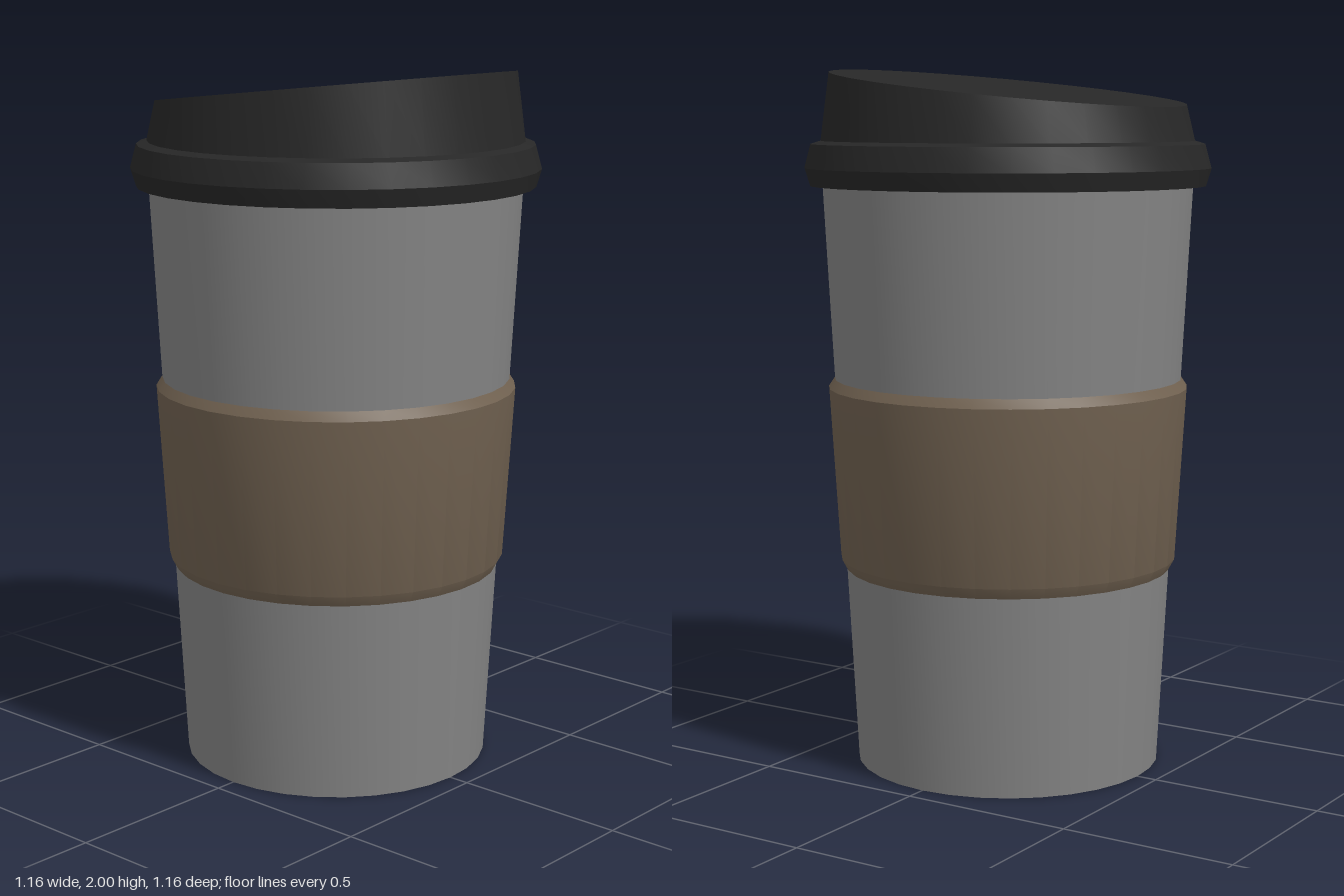
import * as THREE from 'three';
import { toCreasedNormals } from 'three/addons/utils/BufferGeometryUtils.js';

const SIDES = 32;

const cupGrey = new THREE.MeshStandardMaterial({ name: 'cupGrey', color: 0x848484 });
const sleeveBrown = new THREE.MeshStandardMaterial({ name: 'sleeveBrown', color: 0x706150 });
const lidBlack = new THREE.MeshStandardMaterial({ name: 'lidBlack', color: 0x272727 });

// Turns a [radius, height] profile, listed bottom to top, into a named part
function turned(name, profile, material, reshape) {
  const points = profile.map(([r, y]) => new THREE.Vector2(r, y));
  const geometry = new THREE.LatheGeometry(points, SIDES);
  if (reshape) reshape(geometry.attributes.position);
  const mesh = new THREE.Mesh(toCreasedNormals(geometry, 0.45), material);
  mesh.name = name;
  return mesh;
}

// Tilts the flat top of the lid so it rises towards +x
function slantTop(position) {
  for (let i = 0; i < position.count; i++) {
    if (position.getY(i) > 1.9) {
      position.setY(i, position.getY(i) + 0.055 * position.getX(i) / 0.508);
    }
  }
}

export function createModel() {
  const model = new THREE.Group();
  model.name = 'travelCup';

  // Tapered cup body with a flat base
  model.add(turned('cupBody', [[0, 0], [0.44, 0], [0.53, 1.69], [0, 1.69]], cupGrey));

  // Grip sleeve with bevelled edges that meet the cup wall
  model.add(turned('sleeve', [
    [0.468, 0.565], [0.487, 0.6], [0.517, 1.095], [0.498, 1.123],
  ], sleeveBrown));

  // Lid: bulging rim, then a sloped cap
  model.add(turned('lidRim', [
    [0.52, 1.67], [0.565, 1.67], [0.58, 1.72], [0.562, 1.787], [0.53, 1.797],
  ], lidBlack));
  model.add(turned('lidCap', [
    [0.534, 1.79], [0.508, 1.945], [0, 1.945],
  ], lidBlack, slantTop));

  return model;
}
